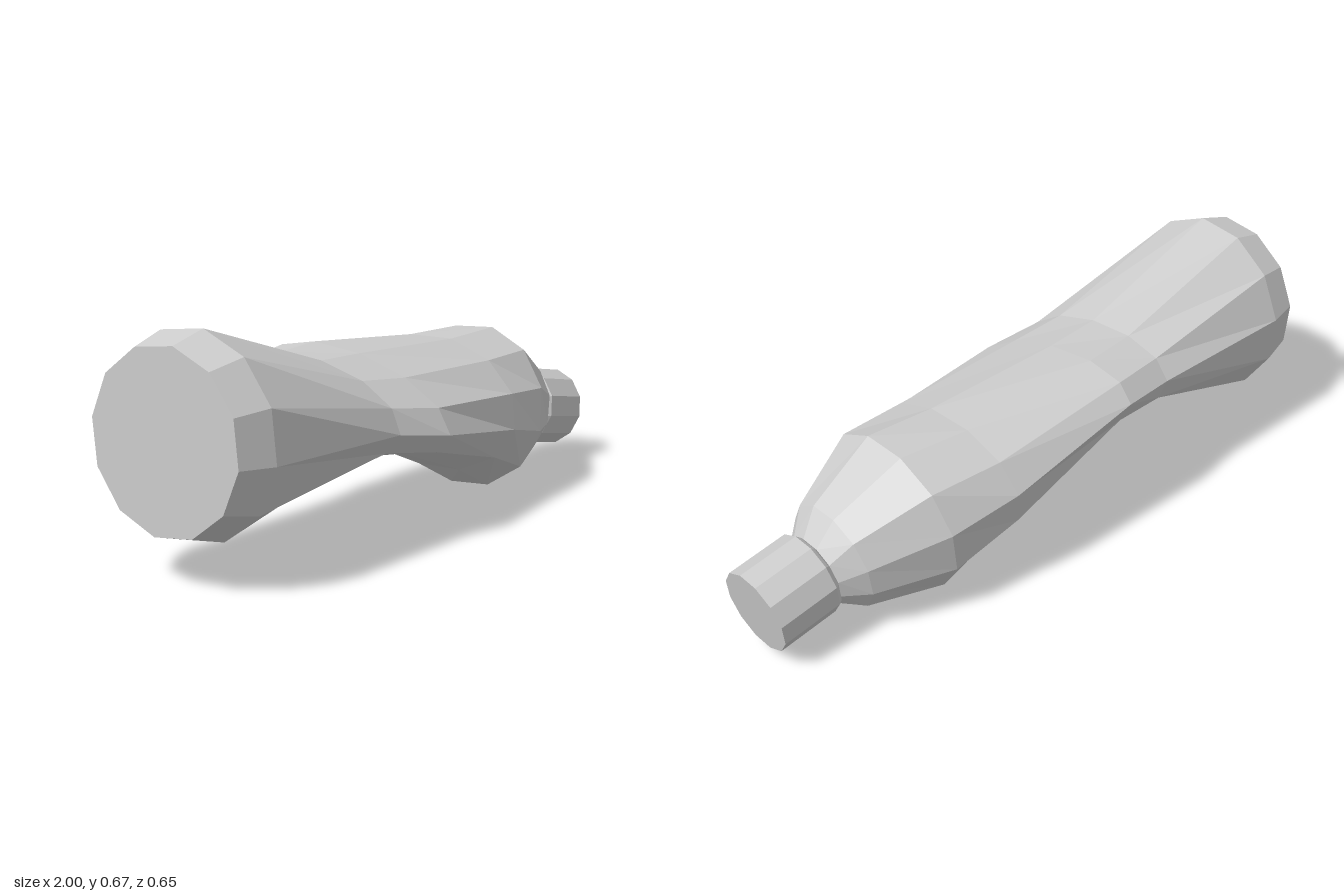
import * as THREE from 'three';

const SIDES = 12;
const rad = THREE.MathUtils.degToRad;

// Each ring: [x, y, z, radiusY, radiusZ, phaseY, phaseZ, lean]
// Unequal phases skew the oval; lean shifts x with height.
const BODY = [
  [-1.0, 0.392, 0, 0.255, 0.252, 9, 9, 0],
  [-0.89, 0.392, 0, 0.287, 0.284, 9, 9, 0],
  [-0.37, 0.39, -0.003, 0.138, 0.292, 22, 4, 0],
  [-0.18, 0.383, 0, 0.148, 0.325, 30, 1, 0],
  [0.256, 0.298, -0.025, 0.203, 0.3, 15, 7, 0.18],
  [0.475, 0.252, -0.03, 0.256, 0.267, 12, 10, 0.18],
  [0.702, 0.211, -0.037, 0.171, 0.165, 13, 13, 0.18],
  [0.77, 0.198, -0.04, 0.108, 0.108, 10, 10, 0.18],
];
const NECK = [
  [0.77, 0.198, -0.04, 0.108, 0.108, 10, 10, 0.18],
  [0.777, 0.198, -0.04, 0.118, 0.118, 10, 10, 0.18],
  [0.789, 0.199, -0.04, 0.127, 0.127, 10, 10, 0.18],
  [0.978, 0.166, -0.04, 0.127, 0.127, 10, 10, 0.18],
];

// Skin the rings and close the chosen ends
function loft(rings, capStart, capEnd) {
  const pos = [];
  const index = [];
  for (const [x, y, z, ry, rz, py, pz, lean] of rings) {
    for (let k = 0; k < SIDES; k++) {
      const t = (k * 360) / SIDES;
      const dy = ry * Math.cos(rad(t + py));
      pos.push(x + lean * dy, y + dy, z + rz * Math.sin(rad(t + pz)));
    }
  }
  for (let i = 0; i < rings.length - 1; i++) {
    for (let k = 0; k < SIDES; k++) {
      const a = i * SIDES + k;
      const b = i * SIDES + ((k + 1) % SIDES);
      index.push(a, b, b + SIDES, a, b + SIDES, a + SIDES);
    }
  }
  const last = (rings.length - 1) * SIDES;
  for (let k = 1; k < SIDES - 1; k++) {
    if (capStart) index.push(0, k + 1, k);
    if (capEnd) index.push(last, last + k, last + k + 1);
  }
  const geo = new THREE.BufferGeometry();
  geo.setAttribute('position', new THREE.Float32BufferAttribute(pos, 3));
  geo.setIndex(index);
  const flat = geo.toNonIndexed();
  flat.computeVertexNormals();
  return flat;
}

export function createModel() {
  const group = new THREE.Group();
  const grey = new THREE.MeshStandardMaterial({ color: 0xcccccc, flatShading: true });
  grey.name = 'light grey';

  // Waisted grip body, flat at its wide end
  const body = new THREE.Mesh(loft(BODY, true, false), grey);
  body.name = 'gripBody';

  // Tilted connector with a bevelled rim
  const neck = new THREE.Mesh(loft(NECK, false, true), grey);
  neck.name = 'connector';

  group.add(body, neck);
  return group;
}
